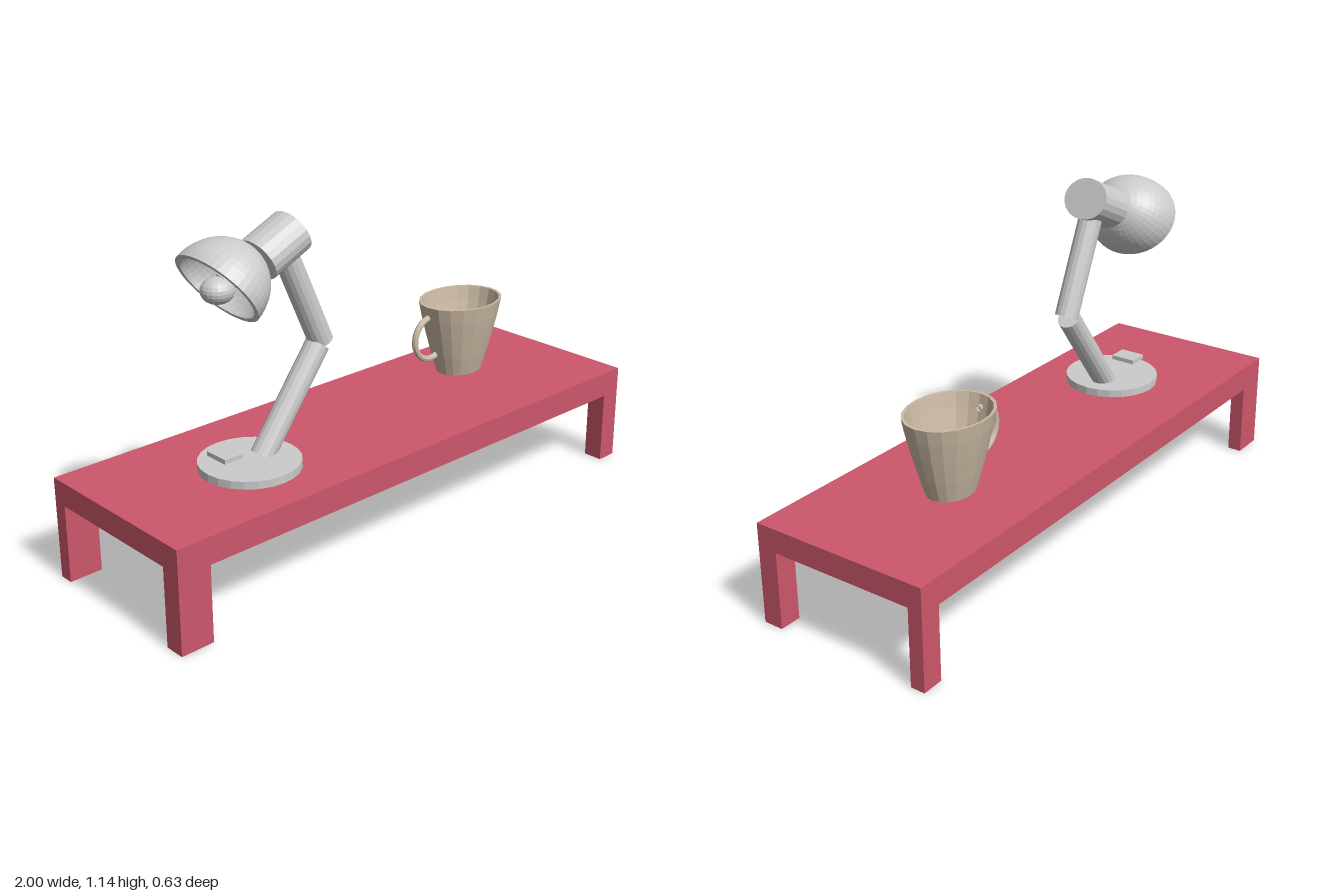
import * as THREE from 'three';

const mat = (color) => new THREE.MeshStandardMaterial({ color, flatShading: true, side: THREE.DoubleSide });
const red = mat(0xcc576a);
const grey = mat(0xcccccc);
const clay = mat(0xccbba5);

function add(parent, name, geometry, material, x = 0, y = 0, z = 0) {
  const mesh = new THREE.Mesh(geometry, material);
  mesh.name = name;
  mesh.position.set(x, y, z);
  parent.add(mesh);
  return mesh;
}

function rod(parent, name, from, to, radius) {
  const a = new THREE.Vector3(...from), b = new THREE.Vector3(...to);
  const dir = b.clone().sub(a);
  const mesh = add(parent, name, new THREE.CylinderGeometry(radius, radius, dir.length(), 16), grey);
  mesh.position.copy(a).add(b).multiplyScalar(0.5);
  mesh.quaternion.setFromUnitVectors(new THREE.Vector3(0, 1, 0), dir.normalize());
  return mesh;
}

const profile = (points) => points.map(([r, y]) => new THREE.Vector2(r, y));

function makeTable() {
  const table = new THREE.Group();
  table.name = 'table';
  add(table, 'tableTop', new THREE.BoxGeometry(2, 0.08, 0.63), red, 0, 0.305, 0);

  // Long side frames: two legs joined by a shallow rail
  const outline = [[-1, 0], [-0.885, 0], [-0.885, 0.255], [0.925, 0.255],
    [0.925, 0], [1, 0], [1, 0.265], [-1, 0.265]];
  const shape = new THREE.Shape(profile(outline));
  for (const [name, z, depth] of [['frontLegFrame', 0.245, 0.07], ['backLegFrame', -0.315, 0.05]]) {
    add(table, name, new THREE.ExtrudeGeometry(shape, { depth, bevelEnabled: false }), red, 0, 0, z);
  }
  return table;
}

function makeLamp() {
  const lamp = new THREE.Group();
  lamp.name = 'deskLamp';
  add(lamp, 'lampBase', new THREE.CylinderGeometry(0.165, 0.165, 0.026, 24), grey, -0.51, 0.358, 0.035);
  add(lamp, 'switchButton', new THREE.BoxGeometry(0.07, 0.015, 0.09), grey, -0.595, 0.407, 0.02);

  // Jointed arm
  rod(lamp, 'lowerArm', [-0.455, 0.36, 0.028], [-0.217, 0.677, 0.028], 0.04);
  rod(lamp, 'upperArm', [-0.203, 0.685, 0.028], [-0.348, 1.01, 0.028], 0.041);

  // Slightly oval head
  const head = add(lamp, 'lampHead', new THREE.CylinderGeometry(1, 1, 0.153, 20), grey, -0.39, 1.039, 0.035);
  head.scale.set(0.071, 1, 0.083);
  head.rotation.z = -1.138;

  // Shade with an inner wall, open towards the lower right-hand side
  const shade = new THREE.Group();
  shade.name = 'lampShade';
  shade.position.set(-0.6, 0.944, 0.017);
  shade.rotation.z = -0.946;
  lamp.add(shade);
  const dome = [];
  for (let i = 0; i <= 12; i++) {
    const a = (i / 12) * Math.PI / 2;
    dome.push([Math.sin(a), Math.cos(a)]);
  }
  const inner = dome.map(([r, y]) => [r * 0.89, y * 0.89]).reverse();
  const bowl = add(shade, 'shadeBowl', new THREE.LatheGeometry(profile([...dome, ...inner]).reverse(), 40), grey);
  bowl.scale.set(0.142, 0.165, 0.165);
  add(shade, 'bulbSocket', new THREE.CylinderGeometry(0.028, 0.028, 0.12, 16), grey, 0, 0.09, 0);

  const bulb = add(lamp, 'bulb', new THREE.SphereGeometry(1, 20, 12), grey, -0.597, 0.939, 0.017);
  bulb.scale.set(0.054, 0.042, 0.052);
  return lamp;
}

function makeMug() {
  const mug = new THREE.Group();
  mug.name = 'mug';
  mug.position.set(0.535, 0.368, -0.052);

  // Tapered cup with a thin wall, oval in plan
  const wall = [[0, 0], [0.09, 0], [0.113, 0.07], [0.136, 0.15], [0.153, 0.215], [0.164, 0.267],
    [0.153, 0.267], [0.142, 0.215], [0.125, 0.15], [0.102, 0.07], [0.088, 0.016], [0, 0.016]];
  const cup = add(mug, 'cup', new THREE.LatheGeometry(profile(wall), 20), clay);
  cup.scale.z = 0.8;

  const handle = add(mug, 'handle', new THREE.TorusGeometry(0.077, 0.011, 8, 20, 3.7), clay, -0.142, 0.149, -0.008);
  handle.rotation.z = 1.45;
  return mug;
}

export function createModel() {
  const model = new THREE.Group();
  model.name = 'tableWithLampAndMug';
  model.add(makeTable(), makeLamp(), makeMug());
  return model;
}
